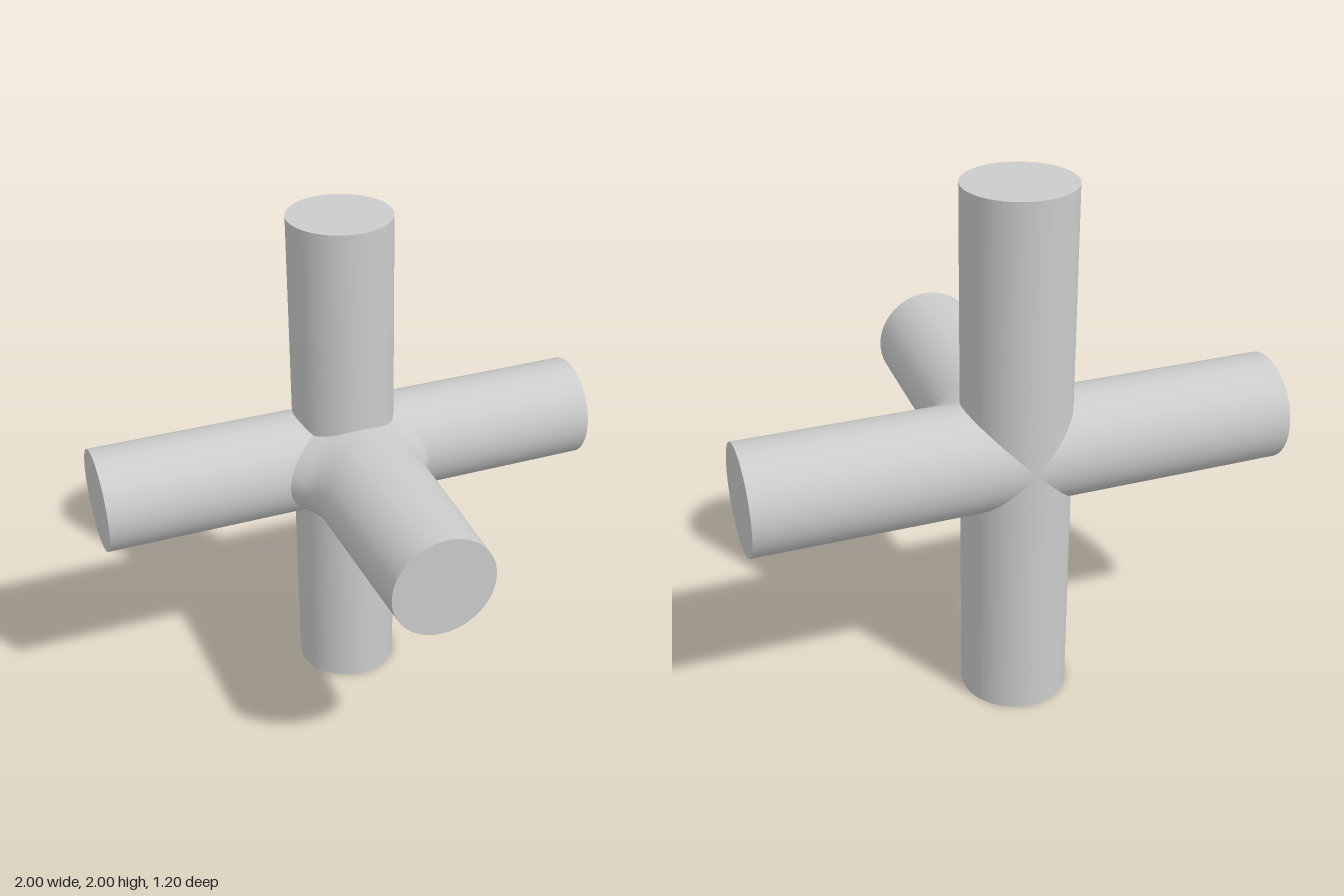
import * as THREE from 'three';

const R = 0.2;
const SIDES = 64;
const HUB = new THREE.Vector3(0, 1, -0.4);

// Smooth skin through closed rings; ring(k, t) gives the point at angle t of ring k
function loft(count, ring) {
  const pos = [], index = [];
  for (let k = 0; k < count; k++) {
    for (let j = 0; j < SIDES; j++) pos.push(...ring(k, (j / SIDES) * Math.PI * 2));
  }
  for (let k = 0; k < count - 1; k++) {
    for (let j = 0; j < SIDES; j++) {
      const n = (j + 1) % SIDES;
      const a = k * SIDES + j, b = k * SIDES + n, c = a + SIDES, d = b + SIDES;
      index.push(a, b, c, b, d, c);
    }
  }
  const g = new THREE.BufferGeometry();
  g.setAttribute('position', new THREE.Float32BufferAttribute(pos, 3));
  g.setIndex(index);
  g.computeVertexNormals();
  return g;
}

export function createModel() {
  const model = new THREE.Group();
  const mat = new THREE.MeshStandardMaterial({ color: 0xcccccc });
  const add = (name, geometry, parent = model) => {
    const mesh = new THREE.Mesh(geometry, mat);
    mesh.name = name;
    parent.add(mesh);
    return mesh;
  };

  // Upright post and crossbar, meeting at the hub
  add('post', new THREE.CylinderGeometry(R, R, 2, SIDES)).position.copy(HUB);
  const bar = add('crossbar', new THREE.CylinderGeometry(R, R, 2, SIDES));
  bar.position.copy(HUB);
  bar.rotation.z = Math.PI / 2;

  // Front arm: tapers in width and flares where it joins the crossbar.
  // Each ring: half width, z offset from hub, mitre depth following the crossbar
  const rings = [
    [0.29, 0, R],
    [0.255, 0.055, R],
    [0.225, 0.11, R],
    [0.222, 0.2, R],
    [0.21, 0.65, 0.1],
    [R, 1, 0],
  ];
  const arm = new THREE.Group();
  arm.name = 'frontArm';
  arm.position.copy(HUB);
  model.add(arm);
  add('armSkin', loft(rings.length, (k, t) => {
    const [w, z, mitre] = rings[k];
    return [w * Math.cos(t), R * Math.sin(t), z + mitre * Math.abs(Math.cos(t))];
  }), arm);
  add('armEnd', new THREE.CircleGeometry(R, SIDES), arm).position.z = 1;

  return model;
}
